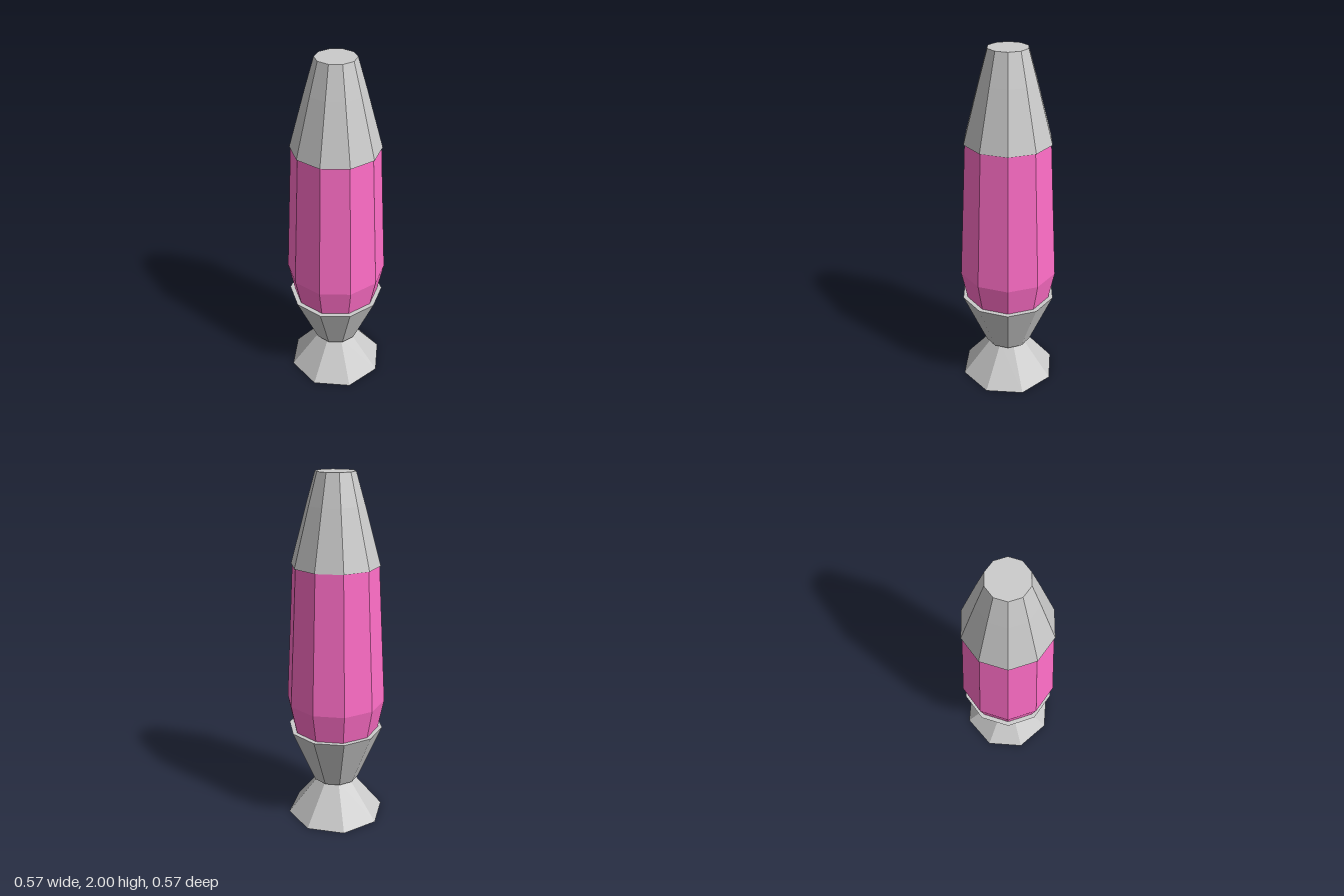
import * as THREE from 'three';

const grey = new THREE.MeshStandardMaterial({ color: 0xcccccc, flatShading: true });
const pink = new THREE.MeshStandardMaterial({ color: 0xff6ec7, flatShading: true });

// Closed faceted solid of revolution from [radius, height] pairs, bottom to top
function turned(name, profile, sides, material) {
  const points = [
    [0, profile[0][1]],
    ...profile,
    [0, profile[profile.length - 1][1]],
  ].map(([r, y]) => new THREE.Vector2(r, y));
  const mesh = new THREE.Mesh(new THREE.LatheGeometry(points, sides), material);
  mesh.name = name;
  return mesh;
}

export function createModel() {
  const lamp = new THREE.Group();
  lamp.name = 'lavaLamp';
  lamp.add(
    // Eight-sided flared foot
    turned('foot', [[0.283, 0], [0.1, 0.23]], 8, grey),
    // Ten-sided cup that holds the bottle
    turned('cup', [[0.135, 0.23], [0.273, 0.56]], 10, grey),
    // Coloured bottle, widest just above the cup
    turned('bottle', [[0.247, 0.56], [0.281, 0.73], [0.238, 1.51]], 10, pink),
    // Tapered cap with a slight bend
    turned('cap', [[0.244, 1.51], [0.157, 1.83], [0.108, 2]], 10, grey),
  );
  return lamp;
}
